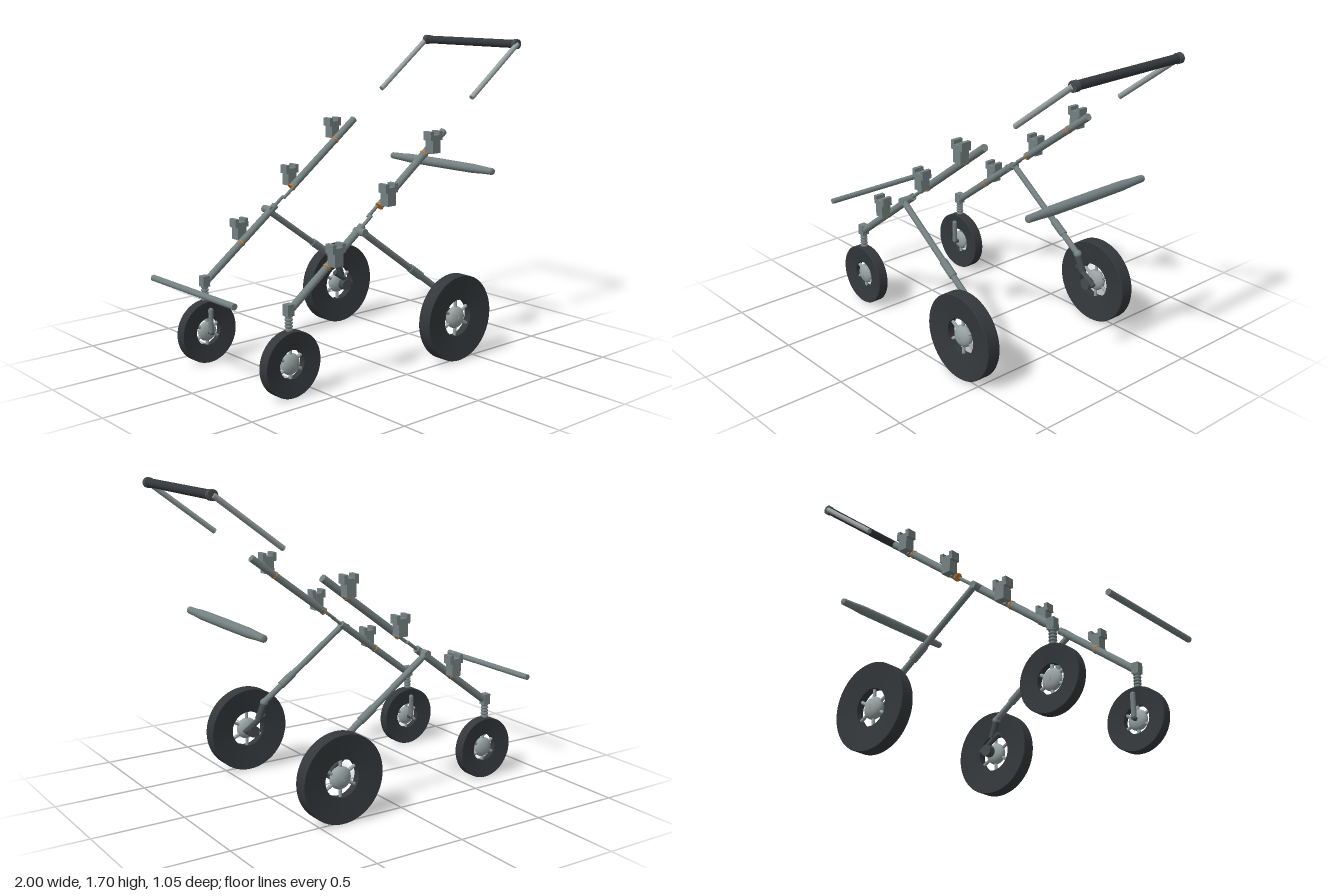
import * as THREE from 'three';

const mat = (name, color) => {
  const m = new THREE.MeshStandardMaterial({ color });
  m.name = name;
  return m;
};
const V = (x, y, z) => new THREE.Vector3(x, y, z);

export function createModel() {
  const root = new THREE.Group();
  root.name = 'strollerFrame';
  const metal = mat('greyMetal', 0x748080);
  const light = mat('lightMetal', 0x98a2a2);
  const dark = mat('darkMetal', 0x454b4e);
  const rubber = mat('blackRubber', 0x34383b);
  const orange = mat('orangeTrim', 0xd07a2c);

  const add = (name, geo, material, pos, parent = root) => {
    const m = new THREE.Mesh(geo, material);
    m.name = name;
    if (pos) m.position.copy(pos);
    parent.add(m);
    return m;
  };
  // Cylinder between two points
  const rod = (name, a, b, r, material, parent = root, r2 = r) => {
    const d = b.clone().sub(a);
    const m = add(name, new THREE.CylinderGeometry(r2, r, d.length(), 20), material,
      a.clone().add(b).multiplyScalar(0.5), parent);
    m.quaternion.setFromUnitVectors(V(0, 1, 0), d.normalize());
    return m;
  };

  // Wheel: dished tyre, hub dome and spokes, axle along z
  const wheel = (name, x, y, z, R, hole, hub, half) => {
    const g = new THREE.Group();
    g.name = name;
    g.position.set(x, y, z);
    root.add(g);
    const h = half * 0.55;
    const corners = [[hole, -h], [R - 0.003, -half], [R, -half + 0.004], [R, half - 0.004], [R - 0.003, half], [hole, h]];
    const pts = [];
    corners.forEach(([r, a], i) => {
      pts.push(new THREE.Vector2(r, a));
      if (i > 0) pts.push(new THREE.Vector2(r, a)); // doubled for a sharp edge
    });
    pts.push(new THREE.Vector2(hole, -h));
    const tyre = new THREE.LatheGeometry(pts, 64);
    tyre.rotateX(Math.PI / 2);
    add('tyre', tyre, rubber, null, g);
    const dome = new THREE.SphereGeometry(hub, 28, 18);
    dome.scale(1, 1, half * 0.9 / hub);
    add('hub', dome, light, null, g);
    const nut = new THREE.CylinderGeometry(0.012, 0.012, half * 1.9, 16);
    nut.rotateX(Math.PI / 2);
    add('axleNut', nut, light, null, g);
    for (let i = 0; i < 6; i++) {
      const a = i * Math.PI / 3 + Math.PI / 6, c = Math.cos(a), s = Math.sin(a);
      rod('spoke', V(c * hub * 0.7, s * hub * 0.7, 0), V(c * (hole + 0.005), s * (hole + 0.005), 0), 0.009, light, g);
    }
  };

  // Notched clip that sits on the rail
  const clipShape = new THREE.Shape([
    [-0.028, 0], [0.028, 0], [0.028, 0.068], [0.042, 0.068], [0.042, 0.115], [0.02, 0.115],
    [0.02, 0.095], [-0.02, 0.095], [-0.02, 0.115], [-0.042, 0.115], [-0.042, 0.068], [-0.028, 0.068],
  ].map(([x, y]) => new THREE.Vector2(x, y)));
  const clipGeo = new THREE.ExtrudeGeometry(clipShape, { depth: 0.056, bevelEnabled: false });
  clipGeo.translate(0, 0, -0.028);

  const railY = x => 0.45 + 0.75 * (x + 0.65);
  const railDir = V(0.8, 0.6, 0);

  for (const s of [1, -1]) {
    const P = (x, y, z) => V(x, y, z * s);
    const R = (x, z = 0.36) => P(x, railY(x), z);

    wheel('frontWheel', -0.66, 0.17, 0.36 * s, 0.17, 0.075, 0.055, 0.03);
    wheel('rearWheel', 0.37, 0.235, 0.487 * s, 0.235, 0.1, 0.06, 0.039);

    // Sloping rail in two lengths with a thin cranked hinge link
    rod('lowerRail', R(-0.65), R(-0.19), 0.02, metal);
    rod('upperRail', R(-0.07), R(0.39), 0.02, metal);
    rod('hingeLinkLower', R(-0.21, 0.363), R(-0.13, 0.363), 0.009, metal);
    rod('hingeLinkStep', R(-0.135, 0.366), R(-0.135, 0.343), 0.009, metal);
    rod('hingeLinkUpper', R(-0.14, 0.346), R(-0.05, 0.346), 0.009, metal);

    // Clips and orange rings
    [-0.405, -0.052, 0.265].forEach((x, i) => {
      add('clip', clipGeo, metal, P(x, [0.63, 0.89, 1.13][i], 0.405));
      const c = R(x - 0.02);
      rod('orangeRing', c.clone().addScaledVector(railDir, -0.004), c.clone().addScaledVector(railDir, 0.004), 0.0225, orange);
      rod('clipPeg', R(x), R(x, 0.39), 0.014, metal);
    });

    // Front suspension and one-sided fork arm
    add('headBlock', new THREE.BoxGeometry(0.042, 0.058, 0.042), metal, P(-0.668, 0.447, 0.36));
    rod('springCore', P(-0.668, 0.335, 0.36), P(-0.668, 0.425, 0.36), 0.013, metal);
    for (let i = 0; i < 5; i++) {
      const coil = new THREE.TorusGeometry(0.015, 0.006, 8, 20);
      coil.rotateX(Math.PI / 2);
      add('springCoil', coil, metal, P(-0.668, 0.347 + i * 0.017, 0.36));
    }
    add('forkArm', new THREE.CapsuleGeometry(0.014, 0.118, 6, 16), metal, P(-0.664, 0.235, 0.314));
    rod('frontAxle', P(-0.66, 0.17, 0.308), P(-0.66, 0.17, 0.36), 0.012, dark);

    // Rear leg with pivot and sleeve
    rod('rearLeg', P(-0.225, 0.775, 0.402), P(0.3, 0.398, 0.402), 0.017, metal);
    rod('legSleeve', P(0.11, 0.535, 0.402), P(0.19, 0.478, 0.402), 0.022, metal);
    rod('legPivot', P(-0.222, 0.773, 0.345), P(-0.222, 0.773, 0.42), 0.02, metal);

    // Rear suspension arm and axle
    add('legEnd', new THREE.SphereGeometry(0.023, 18, 12), metal, P(0.3, 0.395, 0.405));
    rod('shock', P(0.3, 0.39, 0.405), P(0.335, 0.3, 0.41), 0.02, dark);
    rod('swingArm', P(0.29, 0.32, 0.415), P(0.42, 0.235, 0.415), 0.015, dark);
    rod('axleCollar', P(0.37, 0.235, 0.395), P(0.37, 0.235, 0.435), 0.033, dark);
    rod('rearAxle', P(0.37, 0.235, 0.395), P(0.37, 0.235, 0.487), 0.014, dark);

    // Handle side tube and end cap
    rod('handleArm', P(0.605, 1.393, 0.358), P(0.97, 1.668, 0.358), 0.0145, light);
    rod('gripCap', P(0.972, 1.668, 0.335), P(0.972, 1.668, 0.362), 0.027, dark);
  }

  // Cross bars
  rod('handleGrip', V(0.972, 1.668, -0.345), V(0.972, 1.668, 0.345), 0.023, rubber);
  rod('footBar', V(-0.984, 0.52, -0.355), V(-0.984, 0.52, 0.355), 0.016, metal);
  const barProfile = [[0, -0.405], [0.015, -0.405], [0.019, -0.398], [0.021, -0.33], [0.026, -0.25], [0.027, 0],
    [0.026, 0.25], [0.021, 0.33], [0.019, 0.398], [0.015, 0.405], [0, 0.405]];
  const bar = new THREE.LatheGeometry(barProfile.map(([r, a]) => new THREE.Vector2(r, a)), 24);
  bar.rotateX(Math.PI / 2);
  add('bumperBar', bar, metal, V(0.742, 0.978, 0));

  return root;
}
